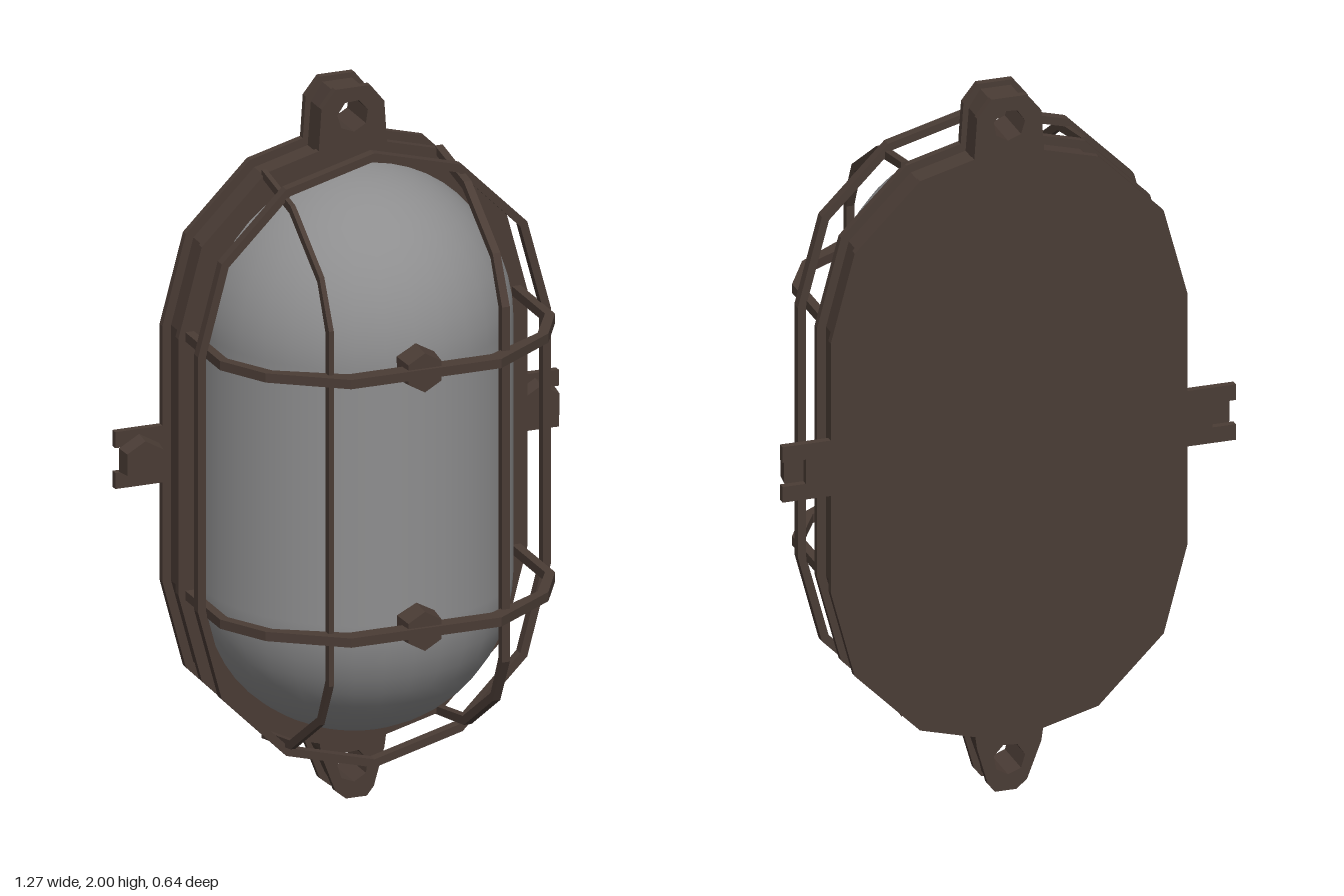
import * as THREE from 'three';

export function createModel() {
  const root = new THREE.Group();
  const metal = new THREE.MeshStandardMaterial({ color: 0x4a3c35 });
  metal.name = 'brown metal';
  const glass = new THREE.MeshStandardMaterial({ color: 0x8e8e8f });
  glass.name = 'frosted glass';

  const add = (name, geo, mat = metal) => {
    const mesh = new THREE.Mesh(geo, mat);
    mesh.name = name;
    root.add(mesh);
    return mesh;
  };
  const v2 = (pts) => pts.map(([x, y]) => new THREE.Vector2(x, y));
  const extrude = (shape, depth) =>
    new THREE.ExtrudeGeometry(shape, { depth, bevelEnabled: false });

  // Stadium outline: two faceted half circles joined by straight sides
  const stadium = (r) => {
    const pts = [];
    for (const [cy, start] of [[1.36, 0], [0.64, Math.PI]])
      for (let i = 0; i <= 6; i++) {
        const a = start + (i * Math.PI) / 6;
        pts.push(new THREE.Vector2(r * Math.cos(a), cy + r * Math.sin(a)));
      }
    return pts;
  };

  // Eyelet outlines, pulled inward by d for the recessed middle layer
  const lug = (top, d) => {
    const pts = top
      ? [[-0.1 + d, 1.8], [0.1 - d, 1.8], [0.09 - d, 1.95 - d], [0.05 - d / 2, 2 - d], [-0.05 + d / 2, 2 - d], [-0.09 + d, 1.95 - d]]
      : [[-0.1 + d, 0.2], [-0.09 + d, 0.13], [-0.05 + d, 0.025 + d], [-0.02, d], [0.04, d], [0.06 - d, 0.025 + d], [0.09 - d, 0.13], [0.1 - d, 0.2]];
    const shape = new THREE.Shape(v2(pts));
    const hole = [];
    for (let i = 0; i < 7; i++) {
      const a = (i * Math.PI * 2) / 7 + 0.3;
      hole.push([0.045 * Math.cos(a), (top ? 1.92 : 0.09) + 0.045 * Math.sin(a)]);
    }
    shape.holes.push(new THREE.Path(v2(hole)));
    return shape;
  };

  // Hexagonal head facing the front
  const hexHead = (rFront, rBack, depth) => {
    const geo = new THREE.CylinderGeometry(rFront, rBack, depth, 6).toNonIndexed();
    geo.computeVertexNormals();
    return geo.rotateX(Math.PI / 2);
  };

  // Bent flat bar: half profiles mirrored by flip, outer edge out and inner edge back
  const bentBar = (outer, inner, flip, width) => {
    const whole = (half) => [...half, ...half.map(flip).reverse()];
    return extrude(new THREE.Shape(v2([...whole(outer), ...whole(inner).reverse()])), width);
  };

  // Housing in three layers: back plate, recessed body, front rim
  for (const [name, r, inset, z, depth] of [
    ['backPlate', 0.5, 0, -0.32, 0.02],
    ['housingBody', 0.475, 0.015, -0.3, 0.09],
    ['frontRim', 0.5, 0, -0.21, 0.02],
  ]) {
    add(name, extrude(new THREE.Shape(stadium(r)), depth)).position.z = z;
    add(name + 'TopEyelet', extrude(lug(true, inset), depth)).position.z = z;
    add(name + 'BottomEyelet', extrude(lug(false, inset), depth)).position.z = z;
  }

  // Glass cover: capsule with its back half flattened into the housing
  const globe = new THREE.CapsuleGeometry(0.425, 0.72, 12, 32);
  globe.scale(1, 1, 0.45 / 0.425);
  const p = globe.attributes.position;
  for (let i = 0; i < p.count; i++) p.setZ(i, Math.max(p.getZ(i), 0));
  globe.translate(0, 1, -0.2);
  add('glassCover', globe, glass);

  // Slotted side ears with hexagonal bolts
  for (const s of [-1, 1]) {
    const side = s > 0 ? 'left' : 'right';
    const ear = new THREE.Shape(v2([
      [0.46, 0.92], [0.635, 0.92], [0.635, 0.965], [0.57, 0.965],
      [0.57, 1.035], [0.635, 1.035], [0.635, 1.08], [0.46, 1.08],
    ].map(([x, y]) => [x * s, y])));
    add(side + 'Ear', extrude(ear, 0.02)).position.z = -0.32;
    add(side + 'Bolt', hexHead(0.06, 0.066, 0.045)).position.set(0.567 * s, 1, -0.278);
  }

  // Cage hoop running round the glass
  const hoop = new THREE.Shape(stadium(0.505));
  hoop.holes.push(new THREE.Path(stadium(0.482)));
  add('cageHoop', extrude(hoop, 0.028)).position.z = -0.068;

  // Horizontal cage bars (profile in x and z) with hexagonal knobs
  const outerX = [[0.48, -0.2], [0.48, 0.05], [0.405, 0.185], [0.215, 0.32]];
  const innerX = [[0.455, -0.2], [0.455, 0.04], [0.38, 0.17], [0.205, 0.275]];
  for (const [place, y] of [['lower', 0.636], ['upper', 1.364]]) {
    const bar = bentBar(outerX, innerX, ([x, z]) => [-x, z], 0.026);
    bar.rotateX(Math.PI / 2);
    add(place + 'CrossBar', bar).position.y = y + 0.013;
    add(place + 'Knob', hexHead(0.055, 0.062, 0.07)).position.set(0, y, 0.275);
  }

  // Vertical cage bars (profile in z and y)
  const outerY = [[-0.2, 1.8], [0, 1.765], [0.2, 1.63], [0.266, 1.5]];
  const innerY = [[-0.2, 1.778], [-0.008, 1.742], [0.186, 1.612], [0.242, 1.49]];
  for (const [side, x, w] of [['left', 0.25, 0.022], ['right', -0.25, 0.014]]) {
    const bar = bentBar(outerY, innerY, ([z, y]) => [z, 2 - y], w);
    bar.rotateY(-Math.PI / 2);
    add(side + 'UprightBar', bar).position.x = x + w / 2;
  }
  return root;
}
